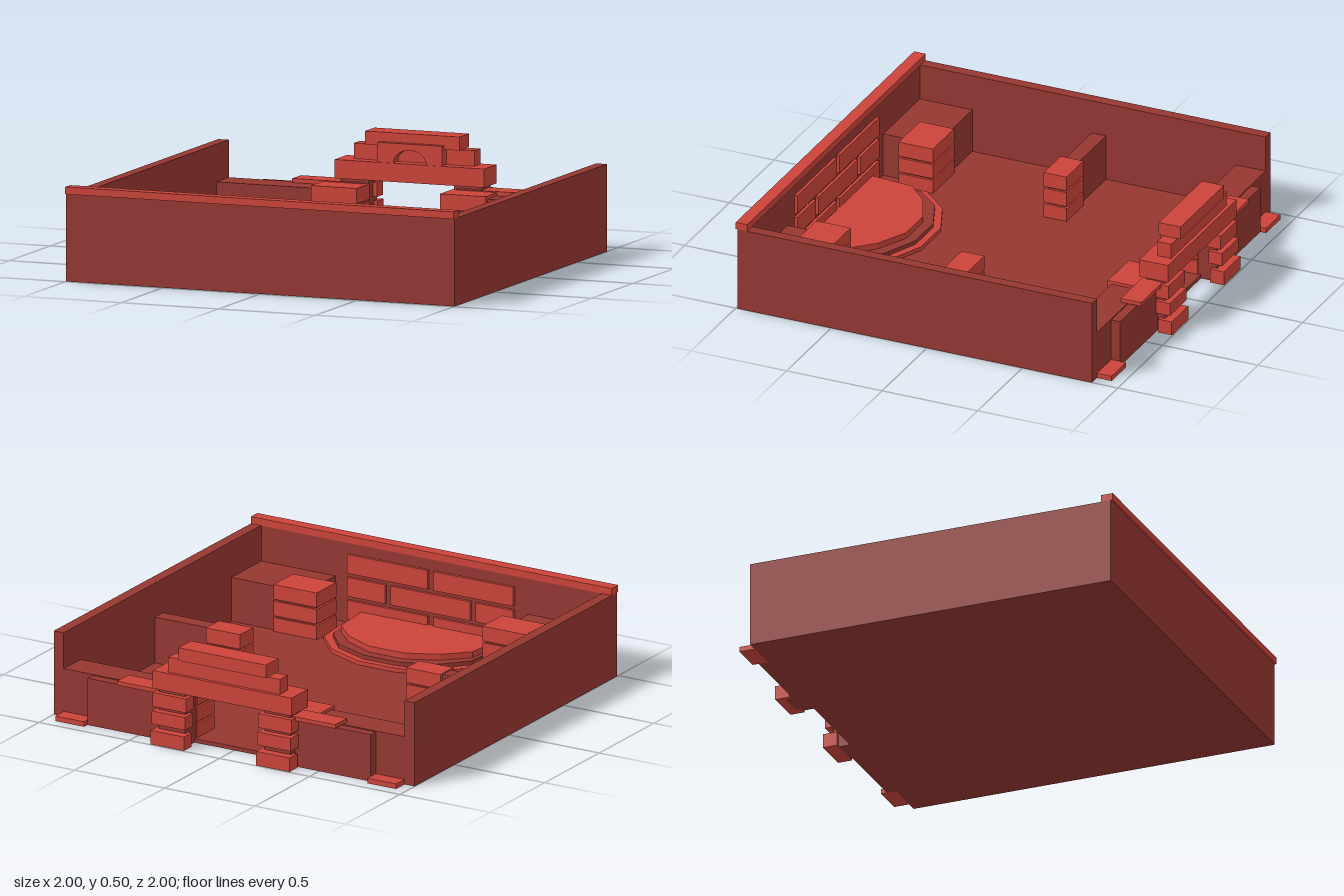
import * as THREE from 'three';

const bright = new THREE.MeshStandardMaterial({ color: 0xcc443a, flatShading: true });
const dark = new THREE.MeshStandardMaterial({ color: 0x963732, flatShading: true });

export function createModel() {
  const root = new THREE.Group();

  const add = (name, geo, mat) => {
    const mesh = new THREE.Mesh(geo, mat);
    mesh.name = name;
    root.add(mesh);
    return mesh;
  };
  // Box from its limits on each axis
  const box = (name, mat, x0, x1, y0, y1, z0, z1) =>
    add(name, new THREE.BoxGeometry(x1 - x0, y1 - y0, z1 - z0), mat)
      .position.set((x0 + x1) / 2, (y0 + y1) / 2, (z0 + z1) / 2);
  // The same box on both sides of x = 0
  const pair = (name, mat, x0, x1, ...rest) => {
    box(name + 'Left', mat, x0, x1, ...rest);
    box(name + 'Right', mat, -x1, -x0, ...rest);
  };

  // Floor and enclosing walls
  box('floor', dark, -1, 1, 0, 0.02, -0.865, 0.99);
  pair('sideWall', dark, 0.945, 1, 0, 0.42, -0.865, 0.99);
  box('frontWall', dark, -0.945, 0.945, 0, 0.42, 0.945, 0.99);
  box('frontWallCap', bright, -1, 1, 0.42, 0.455, 0.94, 1);

  // Low back wall, open in the middle for the doorway
  pair('backWall', dark, 0.24, 0.945, 0, 0.24, -0.865, -0.71);
  pair('backWallPlinth', dark, 0.24, 0.785, 0, 0.235, -0.912, -0.865);
  pair('backWallSlab', bright, 0.24, 0.605, 0.24, 0.26, -0.938, -0.83);
  pair('backFooting', bright, 0.785, 0.945, 0, 0.025, -0.942, -0.865);

  // Partitions running from the side walls to the pillars
  pair('middlePartition', dark, 0.6, 0.945, 0, 0.25, -0.03, 0.045);
  pair('frontPartition', dark, 0.535, 0.945, 0, 0.24, 0.67, 0.945);

  // Pillars of three blocks around a recessed core
  const pillar = (name, x0, x1, z0, z1) => {
    const inset = 0.012;
    pair(name + 'Core', dark, x0 + inset, x1 - inset, 0, 0.25, z0 + inset, z1 - inset);
    for (let i = 0; i < 3; i++) {
      const y = 0.015 + i * 0.083;
      pair(name + 'Block' + i, bright, x0, x1, y, y + 0.074, z0, z1);
    }
  };
  pillar('doorPillar', 0.215, 0.45, -0.85, -0.69);
  pillar('middlePillar', 0.46, 0.65, -0.05, 0.07);
  pillar('frontPillar', 0.46, 0.7, 0.65, 0.83);

  // Stepped blocks on the outside of the doorway
  pair('gateCore', dark, 0.22, 0.365, 0, 0.28, -0.95, -0.85);
  [[0, 0.07, -0.995], [0.1, 0.165, -0.985], [0.185, 0.255, -0.977]].forEach(([y0, y1, z], i) =>
    pair('gateBlock' + i, bright, 0.2, 0.385, y0, y1, z, z + 0.072));

  // Lintel and the tiers above it
  box('lintel', bright, -0.385, 0.385, 0.275, 0.365, -0.975, -0.825);
  box('upperTier', bright, -0.31, 0.31, 0.365, 0.44, -0.957, -0.885);
  box('topBeam', bright, -0.243, 0.243, 0.44, 0.505, -0.975, -0.86);

  // Small arched panel in front of the tiers
  const arch = new THREE.Shape();
  arch.moveTo(-0.165, 0.365);
  arch.lineTo(-0.085, 0.365);
  arch.absellipse(0, 0.365, 0.085, 0.065, Math.PI, 0, true);
  arch.lineTo(0.165, 0.365);
  arch.lineTo(0.165, 0.46);
  arch.lineTo(-0.165, 0.46);
  add('archPanel', new THREE.ExtrudeGeometry(arch, { depth: 0.055, bevelEnabled: false, curveSegments: 5 }), bright)
    .position.z = -0.885;

  // Half-round stage: each outline is mirrored about x = 0
  const outline = (pts) => [
    ...pts.map(([x, z]) => new THREE.Vector2(x, -z)),
    ...[...pts].reverse().map(([x, z]) => new THREE.Vector2(-x, -z)),
  ];
  const step = (name, mat, points, y0, y1) => {
    const geo = new THREE.ExtrudeGeometry(new THREE.Shape(points), { depth: y1 - y0, bevelEnabled: false });
    geo.rotateX(-Math.PI / 2);
    add(name, geo, mat).position.y = y0;
  };
  const outer = outline([[0.455, 0.945], [0.43, 0.665], [0.3, 0.525], [0.11, 0.445]]);
  const inner = outline([[0.405, 0.945], [0.385, 0.675], [0.28, 0.555], [0.1, 0.48]]);
  const top = outline([[0.385, 0.945], [0.365, 0.715], [0.255, 0.605], [0.095, 0.53]]);
  step('stageRing', bright, [...outer, ...[...inner].reverse()], 0.005, 0.04);
  step('stageStep', dark, inner, 0.005, 0.06);
  step('stagePlatform', bright, top, 0.005, 0.09);

  // Staggered bricks on the inside of the front wall
  const rows = [
    [[-0.46, -0.015], [0.015, 0.46]],
    [[-0.46, -0.25], [-0.22, 0.22], [0.25, 0.46]],
    [[-0.46, -0.015], [0.015, 0.46]],
  ];
  rows.forEach((row, r) => row.forEach(([x0, x1], i) =>
    box(`wallBrick${r}_${i}`, bright, x0, x1, 0.04 + r * 0.115, 0.135 + r * 0.115, 0.93, 0.95)));

  return root;
}
